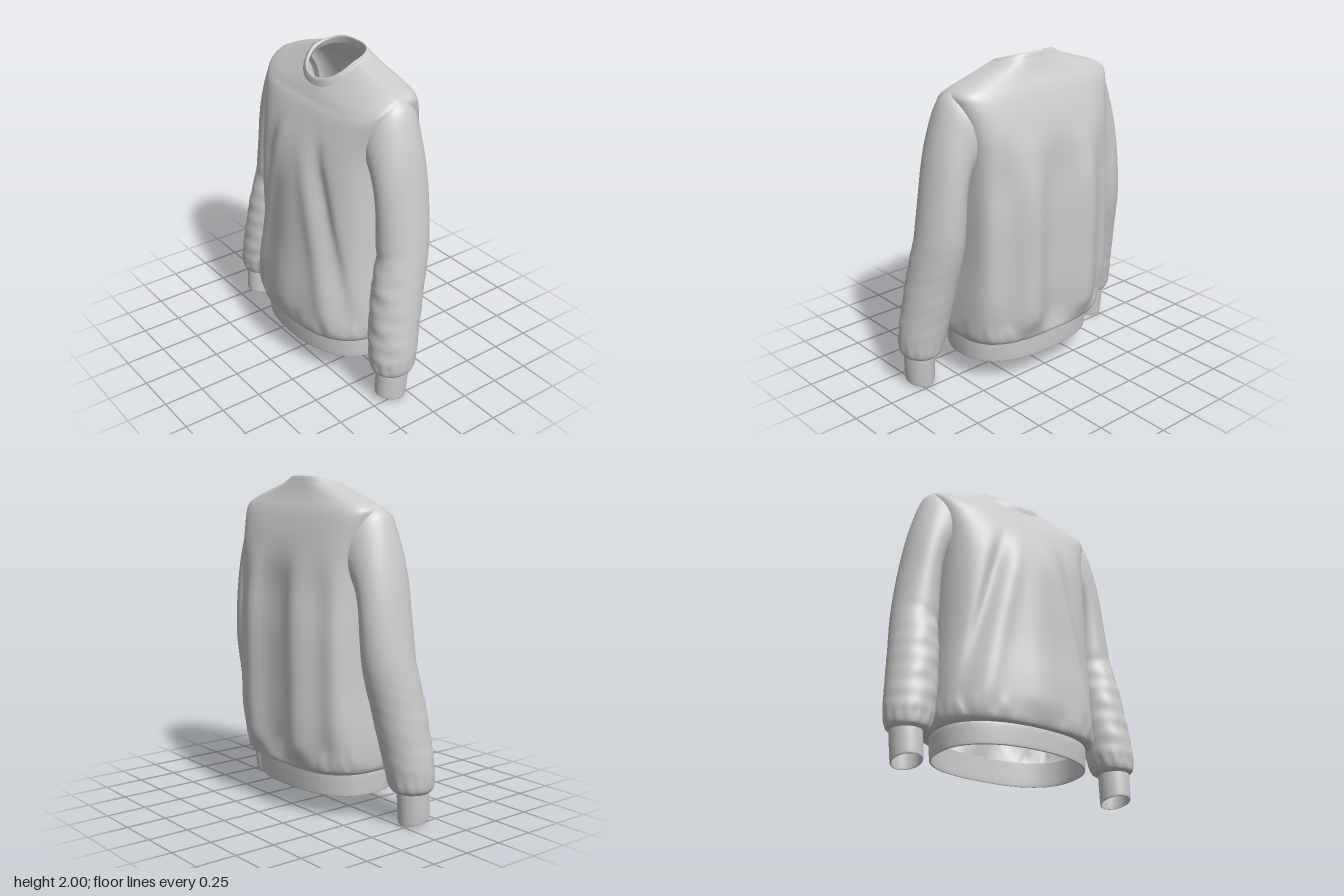
import * as THREE from 'three';

const material = new THREE.MeshStandardMaterial({ color: 0xcccccc, side: THREE.DoubleSide, roughness: 0.9 });
const gauss = (d, s) => Math.exp(-(d * d) / (s * s));
const step = THREE.MathUtils.smoothstep;
const spow = (v, p) => Math.sign(v) * Math.abs(v) ** p;

// Smoothly interpolated row of a cross-section table, u in 0..1
function rowAt(rows, u) {
  const f = u * (rows.length - 1);
  const i = Math.min(Math.floor(f), rows.length - 2);
  const t = f - i;
  const at = (k) => rows[Math.max(0, Math.min(rows.length - 1, k))];
  return rows[i].map((b, c) => {
    const a = at(i - 1)[c], d = at(i + 1)[c], e = at(i + 2)[c];
    return b + 0.5 * t * (d - a + t * (2 * a - 5 * b + 4 * d - e + t * (3 * (b - d) + e - a)));
  });
}

// Closed rings joined into a smooth tube; point(u, angle) returns [x, y, z]
function loft(name, rings, sides, point, flip = false) {
  const pos = [], index = [];
  for (let i = 0; i <= rings; i++) {
    for (let j = 0; j < sides; j++) pos.push(...point(i / rings, (j / sides) * Math.PI * 2));
  }
  for (let i = 0; i < rings; i++) {
    for (let j = 0; j < sides; j++) {
      const a = i * sides + j, b = a + sides;
      const c = i * sides + ((j + 1) % sides), d = c + sides;
      if (flip) index.push(a, c, b, c, d, b);
      else index.push(a, b, c, c, b, d);
    }
  }
  const g = new THREE.BufferGeometry();
  g.setAttribute('position', new THREE.Float32BufferAttribute(pos, 3));
  g.setIndex(index);
  g.computeVertexNormals();
  const mesh = new THREE.Mesh(g, material);
  mesh.name = name;
  return mesh;
}

// Torso ring: row = [yFront, ySide, yBack, halfWidth, zFront, zBack, frontSquareness, backSquareness]
function torsoPoint(rows, u, a) {
  const [yF, yS, yB, w, zF, zB, nF, nB] = rowAt(rows, u);
  const front = Math.sin(a) > 0;
  const n = front ? nF : nB;
  const cx = spow(Math.cos(a), 2 / n), cz = spow(Math.sin(a), 2 / n);
  const mid = (zF + zB) / 2, half = (zF - zB) / 2;
  const y = yS + (front ? (yF - yS) * cz ** 1.2 : (yB - yS) * -cz);
  return [w * cx, y, mid + half * cz, cz];
}

const BODY = [
  [0.275, 0.275, 0.275, 0.465, 0.335, -0.295, 2.4, 2.6],
  [0.285, 0.28, 0.28, 0.5, 0.37, -0.335, 2.5, 3],
  [0.36, 0.35, 0.35, 0.522, 0.382, -0.352, 2.6, 3.5],
  [0.55, 0.55, 0.55, 0.52, 0.375, -0.368, 2.7, 4.5],
  [0.8, 0.8, 0.8, 0.506, 0.35, -0.372, 2.8, 5],
  [1.1, 1.1, 1.1, 0.5, 0.334, -0.375, 2.9, 5],
  [1.35, 1.35, 1.35, 0.497, 0.315, -0.362, 3, 4.6],
  [1.49, 1.51, 1.51, 0.505, 0.288, -0.348, 3.1, 4.2],
  [1.6, 1.65, 1.65, 0.53, 0.25, -0.315, 3.2, 4],
  [1.68, 1.76, 1.76, 0.555, 0.215, -0.277, 3.2, 4],
  [1.72, 1.82, 1.82, 0.557, 0.19, -0.25, 3, 3.8],
  [1.75, 1.855, 1.865, 0.5, 0.175, -0.224, 2.7, 3.6],
  [1.77, 1.895, 1.91, 0.38, 0.165, -0.202, 2.5, 3.4],
  [1.785, 1.934, 1.95, 0.26, 0.158, -0.186, 2.3, 3.2],
  [1.795, 1.947, 1.972, 0.215, 0.152, -0.177, 2.2, 3.1],
];
const COLLAR = [
  [1.792, 1.944, 1.97, 0.216, 0.151, -0.177, 2.2, 3.1],
  [1.81, 1.951, 1.983, 0.203, 0.15, -0.173, 2.2, 3],
  [1.835, 1.955, 1.998, 0.184, 0.146, -0.166, 2.2, 2.9],
  [1.841, 1.953, 2.0, 0.176, 0.138, -0.16, 2.2, 2.9],
  [1.832, 1.945, 1.99, 0.171, 0.132, -0.158, 2.2, 2.9],
  [1.79, 1.915, 1.95, 0.185, 0.135, -0.163, 2.2, 2.9],
];
const HEM = [
  [0.285, 0.285, 0.285, 0.475, 0.34, -0.3, 2.3, 2.5],
  [0.26, 0.26, 0.26, 0.483, 0.348, -0.306, 2.3, 2.5],
  [0.16, 0.15, 0.145, 0.478, 0.345, -0.3, 2.3, 2.5],
  [0.149, 0.14, 0.135, 0.473, 0.34, -0.295, 2.3, 2.5],
  [0.16, 0.15, 0.145, 0.466, 0.333, -0.288, 2.3, 2.5],
  [0.285, 0.285, 0.285, 0.466, 0.333, -0.288, 2.3, 2.5],
];

// Draped folds: soft diagonals in front, vertical pleats behind, gathers above the hem
function bodyPoint(u, a) {
  const [x, y, z0, cz] = torsoPoint(BODY, u, a);
  const ax = Math.abs(x);
  const fade = step(y, 0.28, 0.45) * (1 - step(y, 1.2, 1.65));
  let fold;
  if (cz > 0) {
    const valley = 0.26 + 0.24 * (1.3 - y);
    fold = 0.028 * gauss(x, 0.13) - 0.035 * gauss(ax - valley, 0.05) + 0.016 * gauss(ax - valley + 0.11, 0.06);
  } else {
    fold = 0.04 * Math.cos((ax / 0.42) * Math.PI * 2) * (1 - 0.6 * step(ax, 0.3, 0.5));
  }
  const gather = gauss(y - 0.34, 0.06) * (Math.sin(a * 17) + 0.7 * Math.sin(a * 29 + 1)) * 0.006;
  const z = z0 + fold * fade * Math.abs(cz);
  return [x * (1 + gather), y + gather * 1.5 * step(y, 0.27, 0.32), z * (1 + 2 * gather)];
}

// Sleeve ring: [outerX, outerY, innerX, innerY, zCentre, zRadius]
const SLEEVE = [
  [0.545, 1.835, 0.48, 1.38, -0.045, 0.175],
  [0.598, 1.78, 0.485, 1.34, -0.04, 0.178],
  [0.645, 1.65, 0.49, 1.3, -0.035, 0.175],
  [0.69, 1.47, 0.495, 1.2, -0.035, 0.172],
  [0.735, 1.22, 0.495, 1.05, -0.035, 0.17],
  [0.77, 0.98, 0.5, 0.88, -0.023, 0.167],
  [0.8, 0.75, 0.515, 0.68, 0.02, 0.165],
  [0.83, 0.5, 0.535, 0.46, 0.06, 0.155],
  [0.846, 0.33, 0.56, 0.3, 0.083, 0.145],
  [0.838, 0.225, 0.59, 0.21, 0.09, 0.13],
  [0.81, 0.19, 0.63, 0.19, 0.095, 0.1],
];
const CUFF = [
  [0.805, 0.215, 0.635, 0.215, 0.092, 0.096],
  [0.812, 0.185, 0.63, 0.185, 0.094, 0.1],
  [0.805, 0.035, 0.628, 0.035, 0.105, 0.097],
  [0.8, 0.022, 0.632, 0.022, 0.105, 0.093],
  [0.795, 0.035, 0.637, 0.035, 0.105, 0.088],
  [0.795, 0.2, 0.64, 0.2, 0.095, 0.088],
];

function armPoint(rows, u, a, scale = 1) {
  const [ox, oy, ix, iy, zc, rz] = rowAt(rows, u);
  const c = Math.cos(a) * scale, s = Math.sin(a) * scale;
  return [(ox + ix) / 2 + ((ox - ix) / 2) * c, (oy + iy) / 2 + ((oy - iy) / 2) * c, zc + rz * s];
}

function sleevePoint(u, a) {
  const s = Math.sin(a), c = Math.cos(a);
  const y = armPoint(SLEEVE, u, a)[1];
  const low = step(y, 0.2, 0.32) * (1 - step(y, 0.75, 1));
  // Forearm creases, elbow dent and gathers at the cuff
  const wave = Math.sin(y * 44 + 2.2 * c) * Math.sin(y * 15 + 2 * a + 1);
  const crease = 0.025 * wave * low * (0.25 + 0.75 * Math.max(0, s));
  const dent = -0.07 * gauss(y - 0.93 - 0.04 * c, 0.04) * Math.max(0, s) * (0.6 - 0.4 * c);
  const gather = 0.02 * Math.sin(a * 13) * gauss(y - 0.25, 0.05);
  const p = armPoint(SLEEVE, u, a, 1 + crease + dent + gather);
  // Wrap the sleeve head round the armhole
  p[0] -= 0.06 * s * s * (1 - step(u, 0, 0.35));
  return p;
}

function cuffPoint(u, a) {
  const p = armPoint(CUFF, u, a);
  p[1] += 0.02 * Math.sin(a) * step(u, 0.1, 0.4);
  return p;
}

export function createModel() {
  const model = new THREE.Group();
  model.name = 'sweatshirt';
  model.add(
    loft('body', 112, 176, bodyPoint),
    loft('collar', 20, 72, (u, a) => torsoPoint(COLLAR, u, a).slice(0, 3)),
    loft('hemBand', 24, 96, (u, a) => torsoPoint(HEM, u, a).slice(0, 3), true),
  );
  for (const [label, side] of [['left', 1], ['right', -1]]) {
    const mirror = (fn) => (u, a) => {
      const [x, y, z] = fn(u, a);
      return [x * side, y, z];
    };
    const arm = new THREE.Group();
    arm.name = `${label}Arm`;
    arm.add(
      loft(`${label}Sleeve`, 120, 72, mirror(sleevePoint), side > 0),
      loft(`${label}Cuff`, 20, 48, mirror(cuffPoint), side > 0),
    );
    model.add(arm);
  }
  return model;
}
